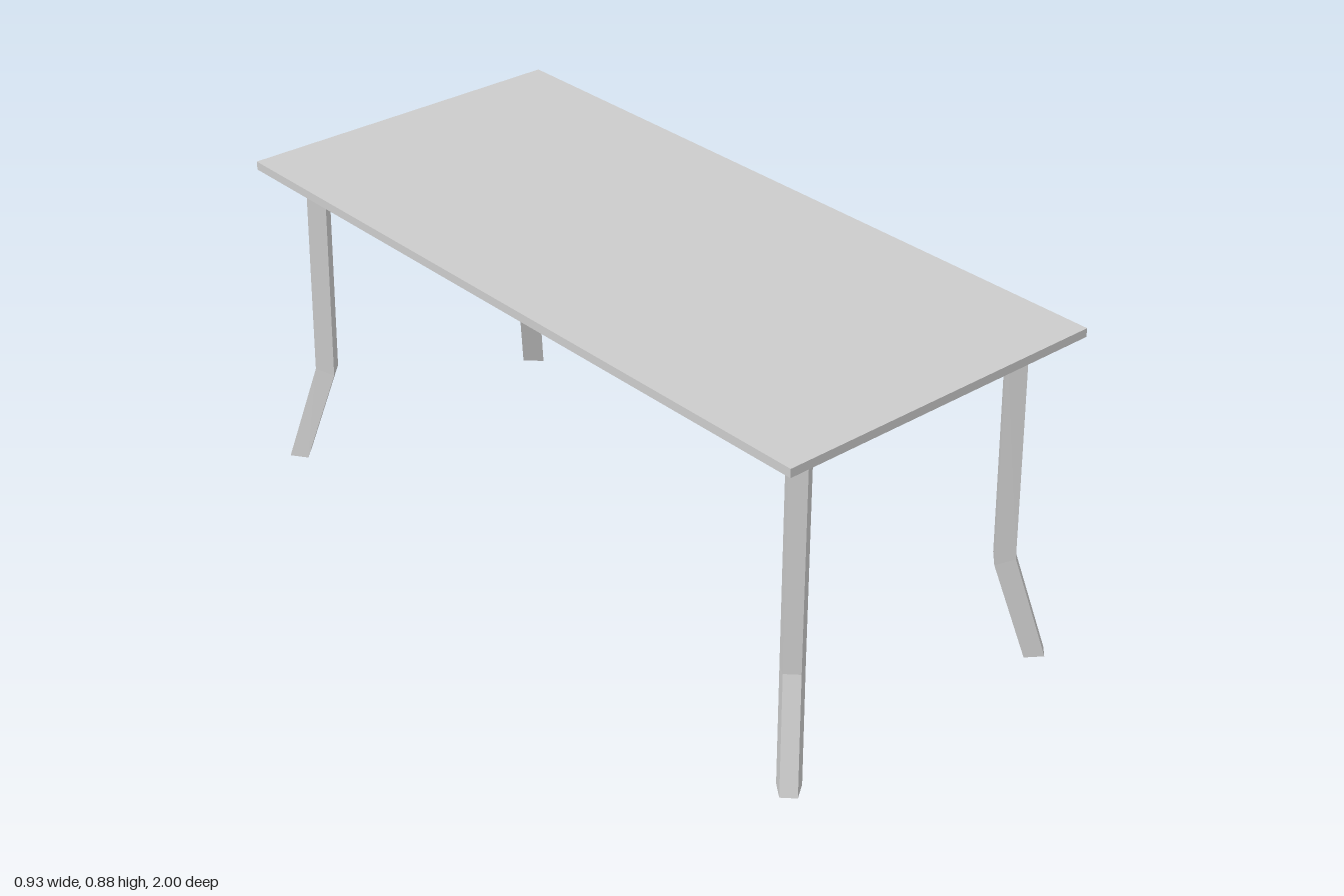
import * as THREE from 'three';

const material = new THREE.MeshStandardMaterial({ color: 0xcccccc, flatShading: true });

const TOP_UNDERSIDE = 0.855;
const TOP_THICKNESS = 0.0225;

// Leg section (x, z): a four-sided bar turned towards the table corner, wider on its inner face
const SECTION = [[0.006, 0.0355], [0.0355, 0.006], [0.006, -0.0355], [-0.0355, 0.006]];

// Bent leg: rings of four corners at the top, the knee and the foot
function legGeometry(sx, sz, rings) {
  const positions = [];
  for (const { x, y, z, tilt = 0 } of rings) {
    for (const [dx, dz] of SECTION) {
      positions.push(x + sx * dx, y + tilt * (dx + dz), z + sz * dz);
    }
  }
  // Mirroring reverses the corner order
  const faces = [];
  const flip = sx * sz < 0;
  const quad = (a, b, c, e) => {
    if (flip) faces.push(a, c, b, a, e, c);
    else faces.push(a, b, c, a, c, e);
  };
  const last = (rings.length - 1) * 4;
  for (let r = 0; r < last; r += 4) {
    for (let i = 0; i < 4; i++) {
      const j = (i + 1) % 4;
      quad(r + i, r + 4 + i, r + 4 + j, r + j);
    }
  }
  quad(0, 1, 2, 3);
  quad(last + 3, last + 2, last + 1, last);

  const indexed = new THREE.BufferGeometry();
  indexed.setAttribute('position', new THREE.Float32BufferAttribute(positions, 3));
  indexed.setIndex(faces);
  const geometry = indexed.toNonIndexed();
  geometry.computeVertexNormals();
  return geometry;
}

export function createModel() {
  const table = new THREE.Group();
  table.name = 'table';

  // Thin flat top
  const top = new THREE.Mesh(new THREE.BoxGeometry(0.925, TOP_THICKNESS, 1.981), material);
  top.name = 'tableTop';
  top.position.set(0, TOP_UNDERSIDE + TOP_THICKNESS / 2, -0.003);
  table.add(top);

  // Four legs, kicked outward below the knee
  for (const sx of [-1, 1]) {
    for (const sz of [-1, 1]) {
      const leg = new THREE.Mesh(legGeometry(sx, sz, [
        { x: sx * 0.338 - 0.006, y: TOP_UNDERSIDE, z: sz * 0.892 },
        { x: sx * 0.345 - 0.006, y: 0.268, z: sz * 0.901, tilt: 0.2 },
        { x: sx * 0.406 - 0.006, y: 0, z: sz * 0.9645 },
      ]), material);
      leg.name = (sz > 0 ? 'front' : 'back') + (sx > 0 ? 'Left' : 'Right') + 'Leg';
      table.add(leg);
    }
  }
  return table;
}
